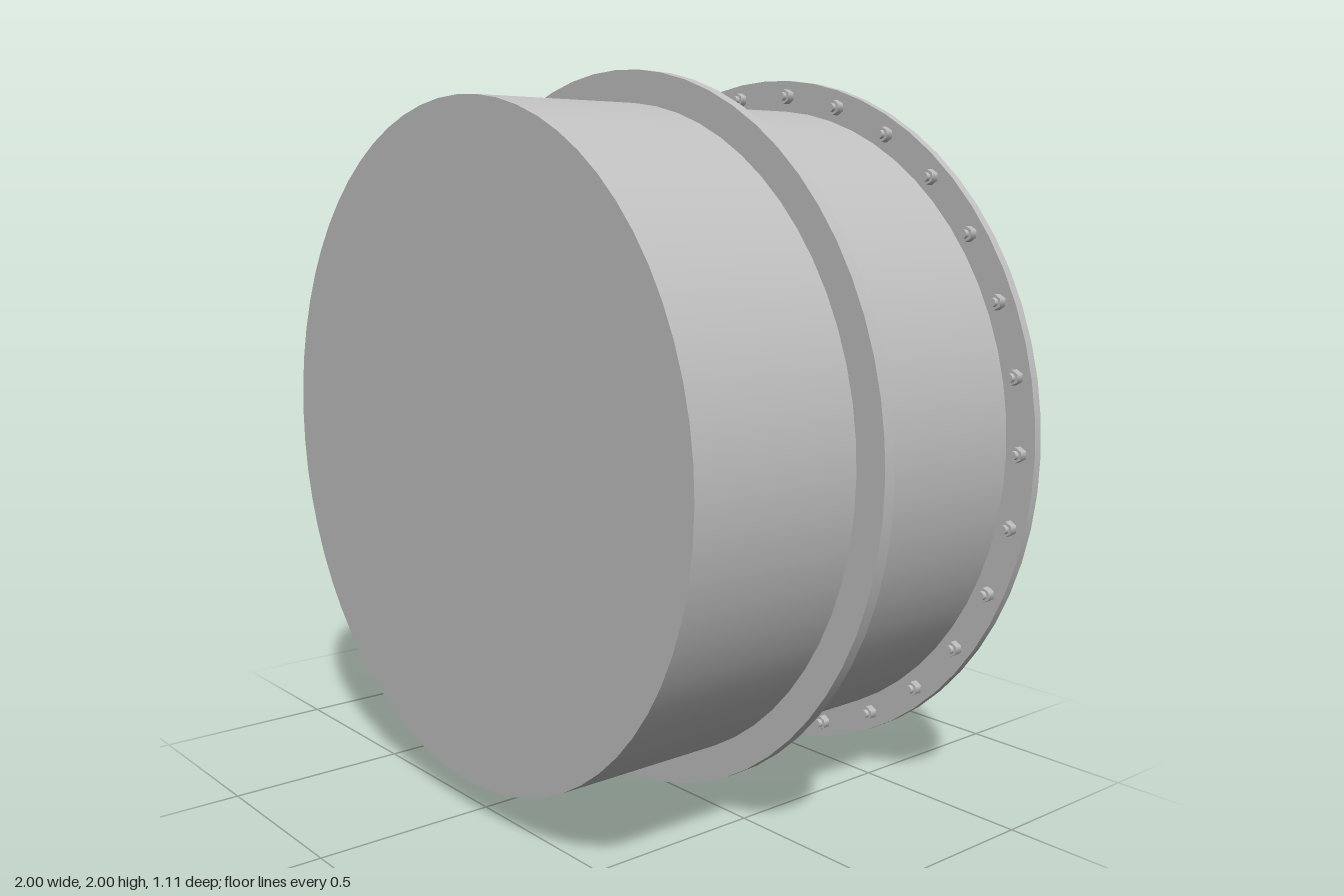
import * as THREE from 'three';

export function createModel() {
  const model = new THREE.Group();
  const steel = new THREE.MeshStandardMaterial({ color: 0xc0c0c0 });
  steel.name = 'grey steel';
  const axisY = 1;

  // Disc or cylinder lying along z between two depths
  function drum(name, radius, zBack, zFront, sides, x = 0, y = axisY, parent = model) {
    const geometry = new THREE.CylinderGeometry(radius, radius, zFront - zBack, sides);
    geometry.rotateX(Math.PI / 2);
    const mesh = new THREE.Mesh(geometry, steel);
    mesh.name = name;
    mesh.position.set(x, y, (zBack + zFront) / 2);
    parent.add(mesh);
    return mesh;
  }

  // Closed barrel with a middle collar and an end flange
  drum('barrel', 0.912, -0.54, 0.555, 64);
  drum('middleCollar', 1, 0.01, 0.045, 64);
  drum('endFlange', 1, -0.555, -0.53, 64);

  // Ring of bolts on the inner face of the flange
  const bolts = new THREE.Group();
  bolts.name = 'flangeBolts';
  model.add(bolts);
  const count = 30;
  for (let i = 0; i < count; i++) {
    const angle = (i / count) * Math.PI * 2;
    const x = Math.cos(angle) * 0.955;
    const y = axisY + Math.sin(angle) * 0.955;
    drum('boltNut', 0.021, -0.532, -0.508, 6, x, y, bolts);
    drum('boltStud', 0.012, -0.532, -0.496, 12, x, y, bolts);
  }
  return model;
}
